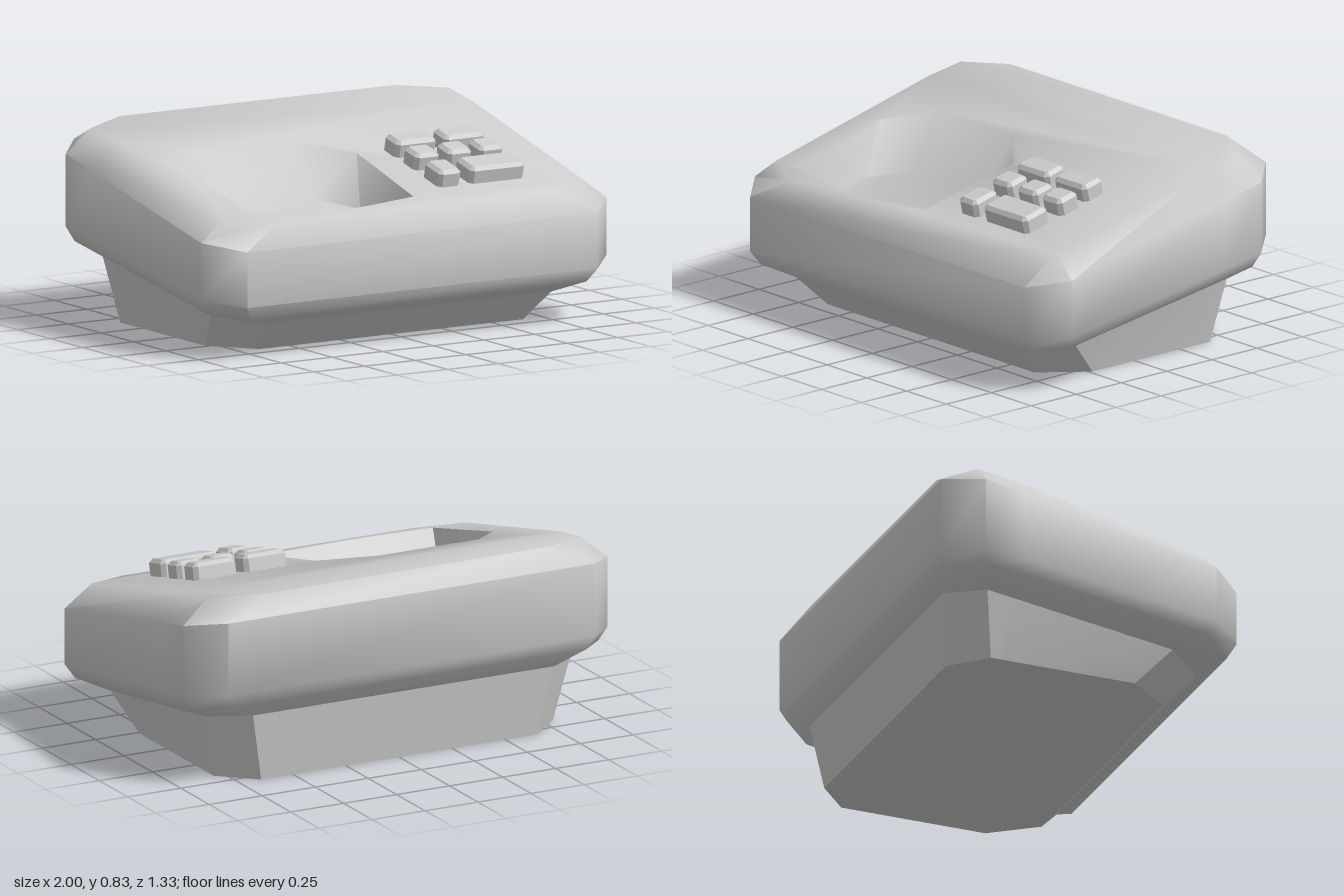
import * as THREE from 'three';
import { toCreasedNormals } from 'three/addons/utils/BufferGeometryUtils.js';

const BEND = -0.34; // the sloped top flattens slightly behind this depth
const topY = z => z > BEND
  ? 0.565 + (0.61 - z) * 0.2368
  : 0.79 + (BEND - z) * 0.148;
const tilt = Math.atan(0.2368);

// Chamfered rectangle, counter-clockwise from above; height varies with z
function ring({ hx, zf, zb, cx, cf, cb, yf, yb, height }) {
  const y = height || (z => yf + (yb - yf) * (zf - z) / (zf - zb));
  return [
    [cx - hx, zf], [hx - cx, zf], [hx, zf - cf], [hx, BEND], [hx, zb + cb],
    [hx - cx, zb], [cx - hx, zb], [-hx, zb + cb], [-hx, BEND], [-hx, zf - cf],
  ].map(([x, z]) => new THREE.Vector3(x, y(z), z));
}

// Joins two matching loops with quads
function loft(tris, a, b) {
  a.forEach((p, i) => {
    const j = (i + 1) % a.length;
    tris.push(p, a[j], b[j], p, b[j], b[i]);
  });
}

// Fills a loop facing up, with an optional hole, or facing down if flipped
function fill(tris, loop, hole = [], flip = false) {
  const flat = l => l.map(p => new THREE.Vector2(p.x, -p.z));
  const all = [...loop, ...hole];
  const faces = THREE.ShapeUtils.triangulateShape(flat(loop), hole.length ? [flat(hole)] : []);
  for (const f of faces) {
    let [a, b, c] = f.map(i => all[i]);
    const up = (b.z - a.z) * (c.x - a.x) - (b.x - a.x) * (c.z - a.z) > 0;
    if (up === flip) [b, c] = [c, b];
    tris.push(a, b, c);
  }
}

function makeMesh(name, tris, material, crease) {
  const geometry = toCreasedNormals(new THREE.BufferGeometry().setFromPoints(tris), crease);
  const mesh = new THREE.Mesh(geometry, material);
  mesh.name = name;
  return mesh;
}

// Small key with clipped corners and a bevelled top
function keyGeometry(w, d) {
  const b = 0.016, x = w / 2 - b, y = d / 2 - b, c = 0.008;
  const shape = new THREE.Shape([
    [-x + c, -y], [x - c, -y], [x, -y + c], [x, y - c],
    [x - c, y], [-x + c, y], [-x, y - c], [-x, -y + c],
  ].map(p => new THREE.Vector2(...p)));
  const geometry = new THREE.ExtrudeGeometry(shape, {
    depth: 0.075, bevelEnabled: true, bevelSize: b, bevelThickness: b, bevelSegments: 1,
  });
  return geometry.rotateX(-Math.PI / 2);
}

export function createModel() {
  const group = new THREE.Group();
  const material = new THREE.MeshStandardMaterial({ color: 0xcccccc });

  // Sloped casing, from the underside up to the top edge
  const rings = [
    { hx: 0.86, zf: 0.55, zb: -0.595, cx: 0.15, cf: 0.17, cb: 0.14, yf: 0.13, yb: 0.30 },
    { hx: 0.97, zf: 0.637, zb: -0.65, cx: 0.14, cf: 0.15, cb: 0.15, yf: 0.175, yb: 0.37 },
    { hx: 1, zf: 0.667, zb: -0.667, cx: 0.135, cf: 0.145, cb: 0.145, yf: 0.23, yb: 0.43 },
    { hx: 1, zf: 0.667, zb: -0.667, cx: 0.135, cf: 0.145, cb: 0.145, yf: 0.465, yb: 0.745 },
    { hx: 0.88, zf: 0.61, zb: -0.61, cx: 0.2, cf: 0.1, cb: 0.1, height: topY },
  ].map(ring);
  const body = [];
  for (let i = 0; i < rings.length - 1; i++) loft(body, rings[i], rings[i + 1]);

  // Hand recess in the top: rim and floor
  const onTop = drop => ([x, z]) => new THREE.Vector3(x, topY(z) - drop, z);
  const rim = [
    [-0.73, 0.51], [-0.5, 0.55], [-0.35, 0.56], [-0.2, 0.55], [0.055, 0.51],
    [0.077, 0.04], [-0.13, -0.14], [-0.6, -0.14], [-0.76, 0.04],
  ].map(onTop(0));
  const floor = [
    [-0.7, 0.4], [-0.5, 0.425], [-0.35, 0.43], [-0.2, 0.425], [0.01, 0.4],
    [0.01, 0.17], [-0.13, 0.02], [-0.55, 0.02], [-0.7, 0.17],
  ].map(onTop(0.18));
  const top = rings[rings.length - 1];
  fill(body, [top[8], top[9], ...top.slice(0, 4)], rim);
  fill(body, top.slice(3, 9));
  loft(body, rim, floor);
  fill(body, floor);
  group.add(makeMesh('body', body, material, 0.95));

  // Wedge-shaped foot
  const foot = ring({ hx: 0.8, zf: 0.425, zb: -0.555, cx: 0.15, cf: 0.19, cb: 0.14, yf: 0, yb: 0 });
  const base = [];
  loft(base, foot, rings[0]);
  fill(base, foot, [], true);
  group.add(makeMesh('base', base, material, 0.3));

  // Keypad: x, z, width, depth
  const keypad = new THREE.Group();
  keypad.name = 'keypad';
  const keys = [
    [0.31, 0.075, 0.2, 0.11], [0.547, 0.075, 0.2, 0.11],
    [0.275, 0.215, 0.12, 0.11], [0.435, 0.215, 0.12, 0.11], [0.59, 0.215, 0.12, 0.11],
    [0.27, 0.385, 0.11, 0.135], [0.505, 0.385, 0.27, 0.135],
  ];
  for (const [x, z, w, d] of keys) {
    const key = new THREE.Mesh(keyGeometry(w, d), material);
    key.name = 'key';
    key.position.set(x, topY(z) - 0.02, z);
    key.rotation.x = tilt;
    keypad.add(key);
  }
  group.add(keypad);
  return group;
}
